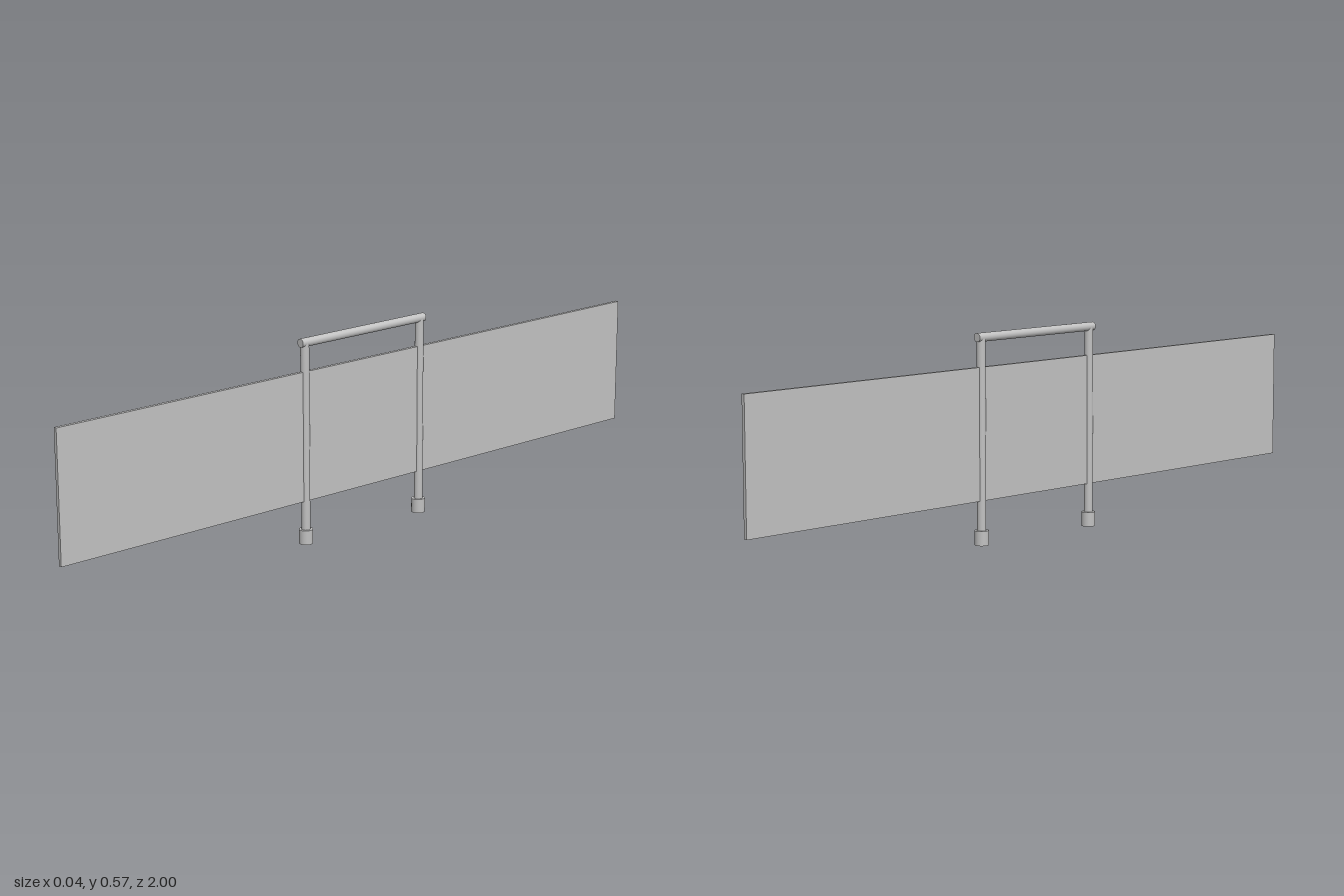
import * as THREE from 'three';

export function createModel() {
  const model = new THREE.Group();
  const metal = new THREE.MeshStandardMaterial({ color: 0xc0c0c0 });
  metal.name = 'grey metal';

  const add = (name, geometry, x, y, z) => {
    const mesh = new THREE.Mesh(geometry, metal);
    mesh.name = name;
    mesh.position.set(x, y, z);
    model.add(mesh);
    return mesh;
  };

  // Long thin panel held between the posts
  add('panel', new THREE.BoxGeometry(0.01, 0.36, 2), 0, 0.3, 0);

  // Top rail joining the posts
  const railRadius = 0.012, railHeight = 0.559;
  const rail = add('topRail', new THREE.CylinderGeometry(railRadius, railRadius, 0.44, 32), 0, railHeight, 0);
  rail.rotation.x = Math.PI / 2;

  // Posts standing on wider feet
  const postGeometry = new THREE.CylinderGeometry(0.012, 0.012, railHeight, 32);
  const footGeometry = new THREE.CylinderGeometry(0.019, 0.019, 0.04, 32);
  for (const [label, side] of [['front', 1], ['back', -1]]) {
    add(label + 'Post', postGeometry, 0, railHeight / 2, side * 0.205);
    add(label + 'Foot', footGeometry, 0, 0.02, side * 0.205);
  }
  return model;
}
